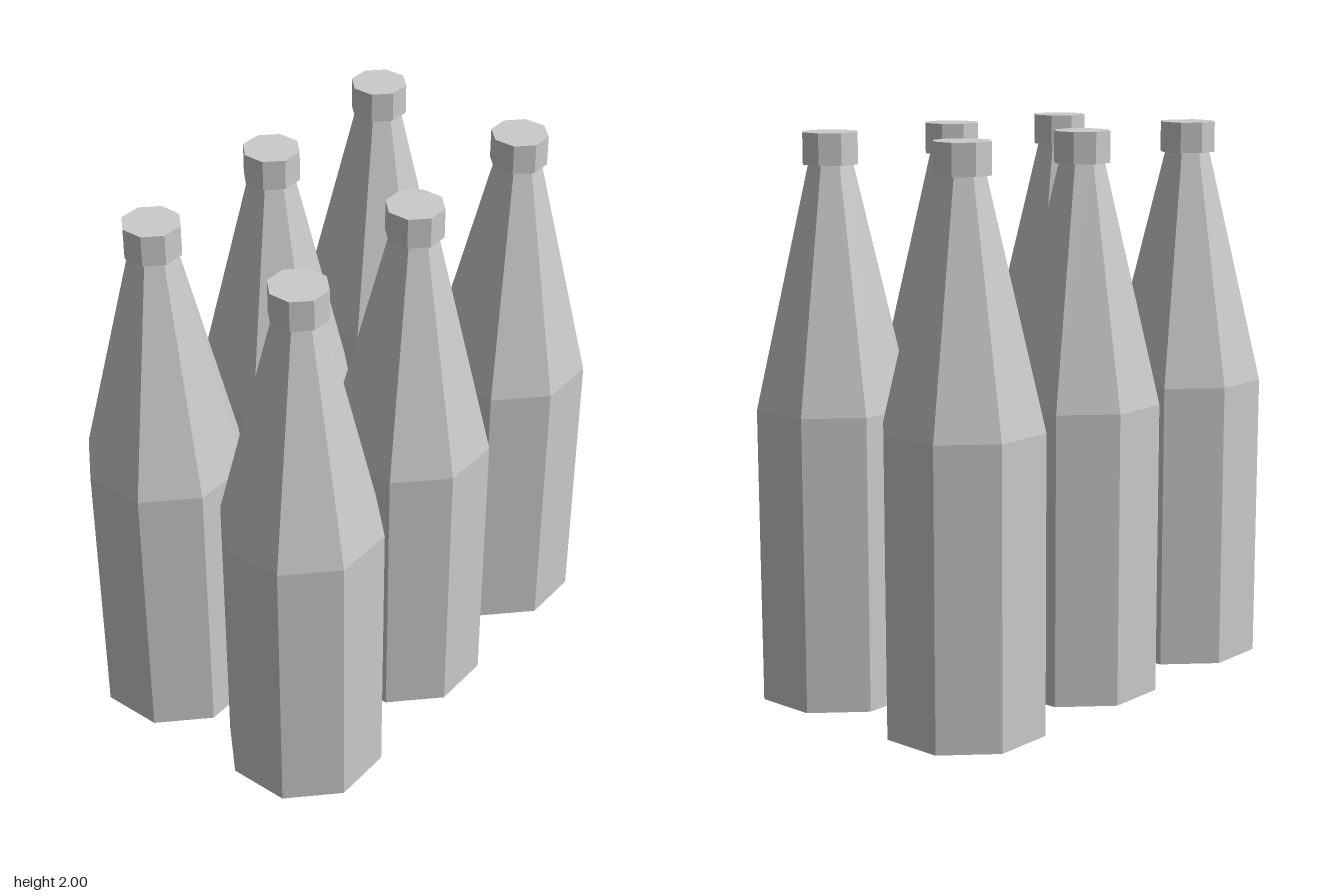
import * as THREE from 'three';

const SIDES = 8;
const SPACING = 0.614;
const material = new THREE.MeshStandardMaterial({ color: 0xcccccc, flatShading: true });

// Octagonal section with flats facing the axes, sized by its half width across flats
function section(name, topHalf, bottomHalf, y0, y1, open = false) {
  const k = 1 / Math.cos(Math.PI / SIDES);
  const geometry = new THREE.CylinderGeometry(
    topHalf * k, bottomHalf * k, y1 - y0, SIDES, 1, open, Math.PI / SIDES);
  const mesh = new THREE.Mesh(geometry, material);
  mesh.name = name;
  mesh.position.y = (y0 + y1) / 2;
  return mesh;
}

function createBottle() {
  const bottle = new THREE.Group();
  bottle.name = 'bottle';

  // Straight body with a closed base
  const body = section('body', 0.267, 0.267, 0, 1.05);
  // Long tapering shoulder and neck
  const neck = section('neck', 0.077, 0.267, 1.05, 1.89, true);
  // Cap, slightly wider than the neck
  const cap = section('cap', 0.094, 0.094, 1.89, 2);

  bottle.add(body, neck, cap);
  return bottle;
}

export function createModel() {
  const model = new THREE.Group();
  model.name = 'sixBottles';

  // Two columns by three rows
  for (const column of [-0.5, 0.5]) {
    for (const row of [-1, 0, 1]) {
      const bottle = createBottle();
      bottle.position.set(column * SPACING, 0, row * SPACING);
      model.add(bottle);
    }
  }
  return model;
}
